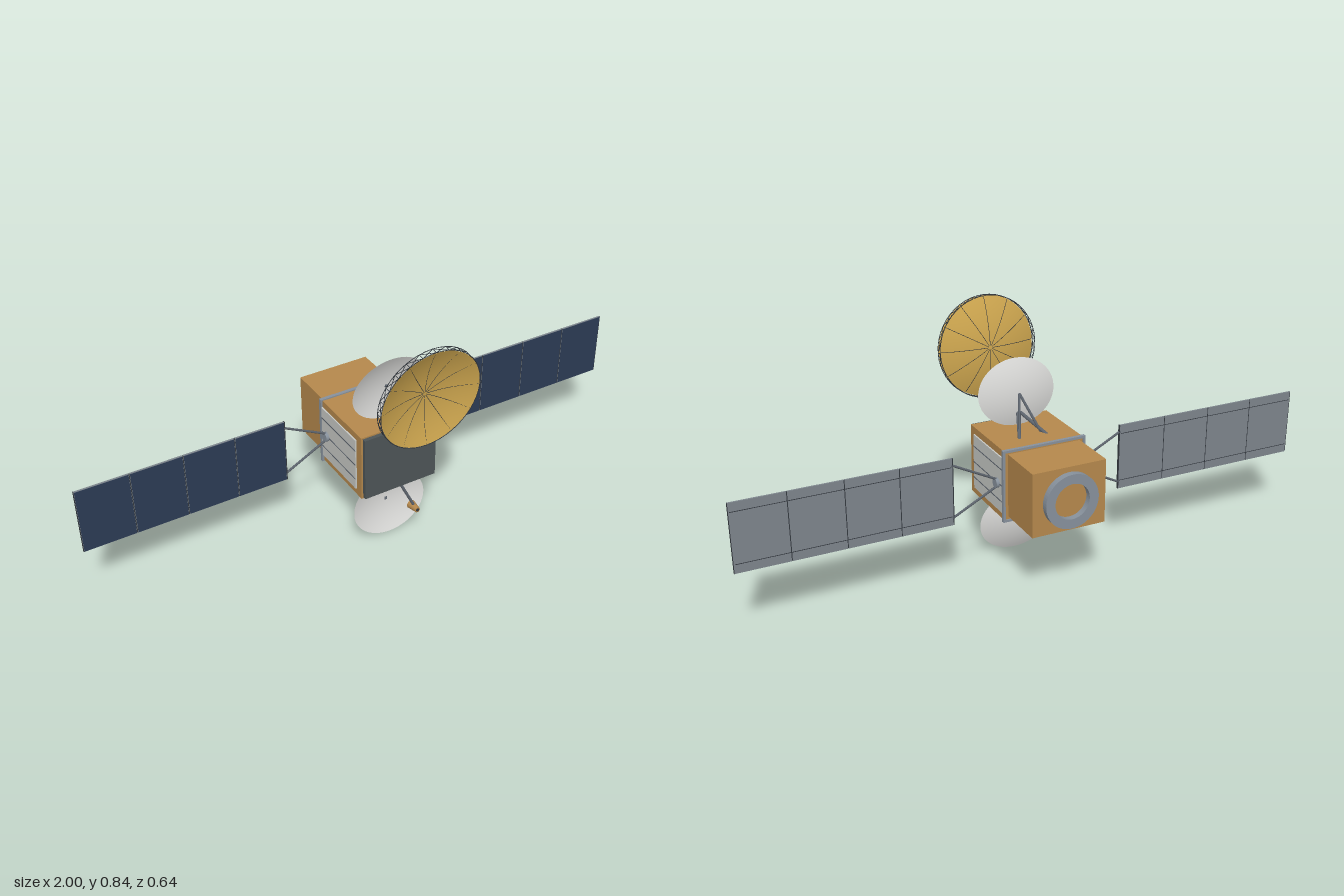
import * as THREE from 'three';

const mat = (name, color, double = false) => {
  const m = new THREE.MeshStandardMaterial({ color });
  m.name = name;
  if (double) m.side = THREE.DoubleSide;
  return m;
};

export function createModel() {
  const M = {
    foil: mat('amber foil', 0xb5884c),
    gold: mat('gold mesh', 0xcba44e, true),
    radiator: mat('radiator grey', 0xc6c8c4),
    white: mat('dish white', 0xd8d8d6, true),
    cell: mat('solar navy', 0x2c3b55),
    back: mat('panel back grey', 0x7d858c),
    plate: mat('front plate slate', 0x4d5557),
    strut: mat('strut grey', 0x5c636c),
    steel: mat('steel blue grey', 0x87919c),
    dark: mat('dark trim', 0x34393f),
  };
  const root = new THREE.Group();
  root.name = 'satellite';
  const MID = 0.345;

  const add = (parent, name, geo, material, x = 0, y = 0, z = 0) => {
    const m = new THREE.Mesh(geo, material);
    m.name = name;
    m.position.set(x, y, z);
    parent.add(m);
    return m;
  };
  const box = (parent, name, material, w, h, d, x, y, z) =>
    add(parent, name, new THREE.BoxGeometry(w, h, d), material, x, y, z);
  // Straight round bar between two points
  const bar = (parent, name, material, a, b, r, sides = 8, rEnd = r) => {
    const p = new THREE.Vector3(...a), q = new THREE.Vector3(...b);
    const dir = q.clone().sub(p);
    const m = add(parent, name, new THREE.CylinderGeometry(rEnd, r, dir.length(), sides), material);
    m.position.copy(p).add(q).multiplyScalar(0.5);
    m.quaternion.setFromUnitVectors(new THREE.Vector3(0, 1, 0), dir.normalize());
    return m;
  };
  // Parabolic bowl opening towards +z, rim in the plane z = 0
  const bowl = (radius, depth) => {
    const pts = [];
    for (let i = 0; i <= 10; i++) {
      const t = i / 10;
      pts.push(new THREE.Vector2(Math.max(radius * t, 1e-4), depth * (t * t - 1)));
    }
    return new THREE.LatheGeometry(pts, 48).rotateX(Math.PI / 2);
  };

  // Body
  box(root, 'mainBody', M.foil, 0.28, 0.24, 0.255, 0, MID, -0.003);
  box(root, 'frontPlate', M.plate, 0.268, 0.23, 0.014, 0, MID, 0.131);
  box(root, 'rearBody', M.foil, 0.256, 0.216, 0.17, 0, 0.347, -0.215);
  for (const s of [-1, 1]) {
    box(root, 'flangeSide', M.steel, 0.008, 0.246, 0.012, s * 0.143, MID, -0.129);
    box(root, 'flangeRail', M.steel, 0.294, 0.008, 0.012, 0, MID + s * 0.12, -0.129);
    // Side radiator with slots
    box(root, 'radiator', M.radiator, 0.006, 0.192, 0.218, s * 0.142, MID, -0.014);
    for (const dy of [-0.056, 0, 0.056])
      box(root, 'radiatorSlot', M.strut, 0.002, 0.003, 0.218, s * 0.1455, MID + dy, -0.014);
  }

  // Rear adapter ring
  const ring = [[0.06, -0.298], [0.092, -0.298], [0.092, -0.322], [0.06, -0.322], [0.06, -0.298]];
  const ringMesh = new THREE.Group();
  ringMesh.name = 'adapterRing';
  root.add(ringMesh);
  const ringShape = new THREE.Shape().absarc(0, 0, ring[1][0], 0, Math.PI * 2);
  ringShape.holes.push(new THREE.Path().absarc(0, 0, ring[0][0], 0, Math.PI * 2, true));
  add(ringMesh, 'ringBody', new THREE.ExtrudeGeometry(ringShape,
    { depth: 0.024, bevelEnabled: false, curveSegments: 32 }), M.steel, 0, 0.346, -0.322);

  // Solar wings
  const Z = -0.09, W = 0.175;
  for (const s of [-1, 1]) {
    const wing = new THREE.Group();
    wing.name = s > 0 ? 'leftWing' : 'rightWing';
    root.add(wing);
    const hub = add(wing, 'wingHub', new THREE.CylinderGeometry(0.0165, 0.0165, 0.016, 20), M.steel,
      s * 0.148, MID, Z);
    hub.rotation.z = Math.PI / 2;
    for (const v of [-1, 1]) {
      bar(wing, 'yokeArm', M.strut, [s * 0.148, MID + v * 0.012, Z],
        [s * 0.304, MID + v * 0.092, Z], 0.004);
      box(wing, 'backRail', M.dark, 0.69, 0.002, 0.001, s * 0.65, MID + v * 0.085, Z - 0.0032);
    }
    for (let i = 0; i < 4; i++) {
      const x = s * (0.3 + W * (i + 0.5));
      box(wing, 'panelCore', M.back, W - 0.003, 0.23, 0.006, x, MID, Z);
      box(wing, 'solarCells', M.cell, W - 0.005, 0.227, 0.0015, x, MID, Z + 0.0035);
      if (i < 3) box(wing, 'panelHinge', M.dark, 0.004, 0.228, 0.005, x + s * W / 2, MID, Z);
    }
    box(wing, 'wingTip', M.dark, 0.0015, 0.23, 0.007, s * 0.99925, MID, Z);
    box(wing, 'wingRoot', M.dark, 0.003, 0.23, 0.007, s * 0.3, MID, Z);
  }

  // Upper and lower oval dishes with feeds and mounting struts
  for (const s of [-1, 1]) {
    const unit = new THREE.Group();
    unit.name = s > 0 ? 'upperAntenna' : 'lowerAntenna';
    unit.position.y = MID;
    root.add(unit);
    const dish = add(unit, 'ovalDish', bowl(1, 0.023), M.white, 0, s * 0.231, 0.069);
    dish.scale.set(0.137, 0.1135, 1);
    dish.rotation.x = s * 0.1;
    for (const x of [-0.04, 0.04])
      bar(unit, 'dishStrut', M.strut, [0, s * 0.231, 0.047], [x, s * 0.115, -0.035], 0.0045);
    bar(unit, 'feedArm', M.strut, [0.008, s * 0.115, 0.116], [0.057, s * 0.222, 0.134], 0.005);
    bar(unit, 'feedHorn', M.foil, [0.057, s * 0.227, 0.156], [0.057, s * 0.23, 0.115], 0.0095, 20, 0.0155);
    bar(unit, 'hornCap', M.dark, [0.057, s * 0.227, 0.157], [0.057, s * 0.227, 0.154], 0.006, 16);
  }

  // Boom of the large reflector
  bar(root, 'reflectorBoom', M.foil, [0, 0.514, 0.055], [0, 0.488, 0.267], 0.008, 12);
  for (const x of [-0.05, 0.05])
    bar(root, 'boomLeg', M.strut, [0, 0.514, 0.06], [x, 0.46, -0.055], 0.006);

  // Large gold reflector with ribs and a lattice hoop
  const R = 0.176, D = 0.036;
  const reflector = new THREE.Group();
  reflector.name = 'largeReflector';
  reflector.position.set(0, 0.663, 0.302);
  reflector.rotation.x = 0.1;
  root.add(reflector);
  add(reflector, 'goldDish', bowl(R - 0.002, D), M.gold);
  for (let i = 0; i < 12; i++) {
    const a = (i / 12) * Math.PI * 2;
    const pts = [];
    for (let k = 0; k <= 8; k++) {
      const t = 0.04 + 0.94 * k / 8;
      pts.push(new THREE.Vector3(Math.cos(a) * R * t, Math.sin(a) * R * t, D * (t * t - 1)));
    }
    add(reflector, 'rib', new THREE.TubeGeometry(new THREE.CatmullRomCurve3(pts), 16, 0.0009, 5), M.dark);
  }
  for (const z of [0, -0.02])
    add(reflector, 'hoop', new THREE.TorusGeometry(R, 0.0012, 5, 48), M.dark, 0, 0, z);
  const N = 24;
  const rim = (i, z) => {
    const a = (i / N) * Math.PI * 2;
    return [Math.cos(a) * R, Math.sin(a) * R, z];
  };
  for (let i = 0; i < N; i++) {
    bar(reflector, 'hoopPost', M.dark, rim(i, 0), rim(i, -0.02), 0.001, 5);
    bar(reflector, 'hoopBrace', M.dark, rim(i, 0), rim(i + 1, -0.02), 0.001, 5);
    bar(reflector, 'hoopBrace', M.dark, rim(i, -0.02), rim(i + 1, 0), 0.001, 5);
  }
  return root;
}
